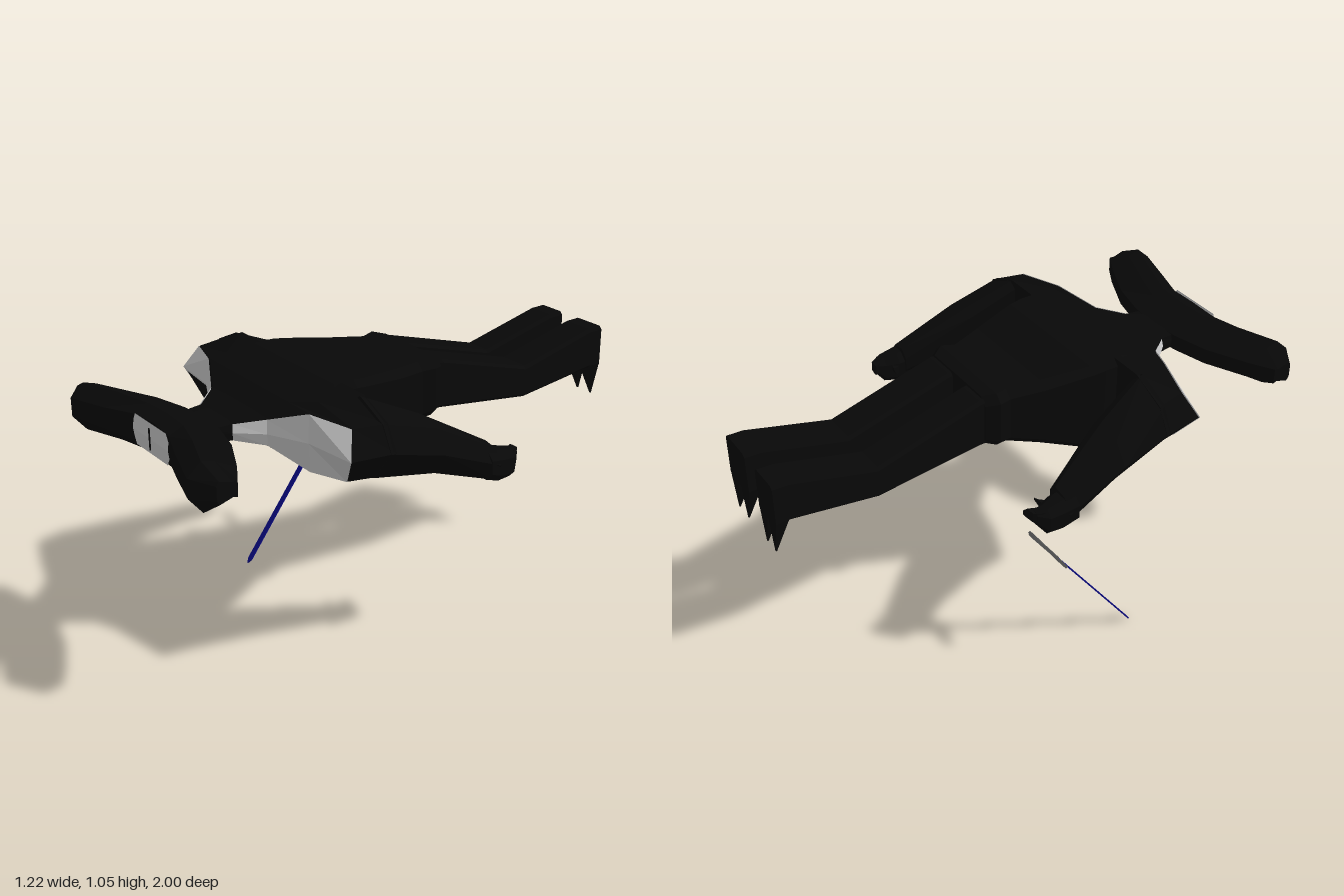
import * as THREE from 'three';

const black = new THREE.MeshStandardMaterial({ color: 0x080808, flatShading: true });
const grey = new THREE.MeshStandardMaterial({ color: 0xcccccc, flatShading: true, side: THREE.DoubleSide });
const steel = new THREE.MeshStandardMaterial({ color: 0x555555, flatShading: true });
const blue = new THREE.MeshStandardMaterial({ color: 0x0a0a80, flatShading: true });

// Skin rings of points into a closed faceted solid; the winding is made outward.
function loft(rings) {
  const tris = [], n = rings[0].length;
  for (let r = 0; r < rings.length - 1; r++) {
    for (let i = 0; i < n; i++) {
      const j = (i + 1) % n, A = rings[r], B = rings[r + 1];
      tris.push([A[i], A[j], B[j]], [A[i], B[j], B[i]]);
    }
  }
  const cap = (ring, flip) => {
    const c = [0, 1, 2].map(k => ring.reduce((s, p) => s + p[k], 0) / n);
    for (let i = 0; i < n; i++) {
      const a = ring[i], b = ring[(i + 1) % n];
      tris.push(flip ? [c, b, a] : [c, a, b]);
    }
  };
  cap(rings[0], true);
  cap(rings[rings.length - 1], false);
  let volume = 0;
  for (const [a, b, c] of tris) {
    volume += a[0] * (b[1] * c[2] - b[2] * c[1]) - a[1] * (b[0] * c[2] - b[2] * c[0]) + a[2] * (b[0] * c[1] - b[1] * c[0]);
  }
  if (volume < 0) tris.forEach(t => t.reverse());
  return geometry(tris);
}

// Open sheet through rows of points.
function sheet(rows) {
  const tris = [];
  for (let r = 0; r < rows.length - 1; r++) {
    for (let i = 0; i < rows[0].length - 1; i++) {
      const A = rows[r], B = rows[r + 1];
      tris.push([A[i], B[i], B[i + 1]], [A[i], B[i + 1], A[i + 1]]);
    }
  }
  return geometry(tris);
}

function geometry(tris) {
  const g = new THREE.BufferGeometry();
  g.setAttribute('position', new THREE.Float32BufferAttribute(tris.flat(2), 3));
  g.computeVertexNormals();
  return g;
}

const mirrorRing = half => [...half, ...half.map(([x, y, z]) => [-x, y, z]).reverse()];

// Bevelled rectangle facing along z.
function bevel(x0, x1, y0, y1, z, b) {
  return [[x0 + b, y1, z], [x1 - b, y1, z], [x1, y1 - b, z], [x1, y0 + b, z],
    [x1 - b, y0, z], [x0 + b, y0, z], [x0, y0 + b, z], [x0, y1 - b, z]];
}

export function createModel() {
  const model = new THREE.Group();
  const add = (name, geo, mat, parent = model) => {
    const mesh = new THREE.Mesh(geo, mat);
    mesh.name = name;
    parent.add(mesh);
    return mesh;
  };

  // Wide hammer head: |x|, front z, back z, top, bottom, half height of the blunt front
  const headHalf = [
    [0, .895, .7, .975, .78, .057], [.12, .9, .71, .975, .795, .05], [.26, .95, .745, .982, .803, .04],
    [.42, 1, .82, .982, .803, .035], [.505, .945, .87, .94, .86, .025]];
  const headRing = (s, [x, zf, zb, t, b, h]) => {
    const zm = zb + (zf - zb) * .6;
    return [[s * x, .9 - h, zf], [s * x, .9 + h, zf], [s * x, t, zm + .02], [s * x, t - .015, zm - .03],
      [s * x, .93, zb], [s * x, .87, zb], [s * x, b + .015, zm - .03], [s * x, b, zm + .02]];
  };
  add('head', loft([
    ...headHalf.slice(1).reverse().map(h => headRing(-1, h)), ...headHalf.map(h => headRing(1, h))]), black);

  // Pale face patch with a slit
  add('facePatch', sheet([-.125, -.11, 0, .11, .125].map(x => {
    const h = Math.abs(x) > .12 ? .03 : .057;
    return [-h, 0, h].map(d => [x, .9 + d, .905 + (d ? 0 : .004)]);
  })), grey);
  add('faceSlit', new THREE.BoxGeometry(.005, .08, .004), black).position.set(0, .9, .911);

  // Neck and shoulders: half profiles from top to bottom, neck to back of shoulders
  const shoulders = [
    [[.06, .93, .74], [.1, .925, .74], [.1, .9, .74], [.1, .875, .74], [.06, .87, .74]],
    [[.06, .935, .65], [.11, .93, .65], [.115, .9, .655], [.11, .87, .65], [.06, .87, .65]],
    [[.1, .955, .56], [.185, .95, .56], [.192, .9, .565], [.185, .855, .56], [.1, .85, .56]],
    [[.2, 1, .485], [.33, 1, .485], [.34, .9, .495], [.33, .79, .485], [.2, .79, .485]],
    [[.3, 1.02, .43], [.5, .99, .43], [.555, .9, .472], [.47, .79, .43], [.3, .76, .43]],
    [[.39, 1.05, .31], [.53, .99, .31], [.58, .9, .31], [.48, .78, .31], [.39, .74, .31]]];
  add('shoulders', loft(shoulders.map(mirrorRing)), black);

  // Torso from chest to hips: z, half width, bottom, top, bevel
  add('torso', loft([
    [.47, .26, .79, 1, .02], [.34, .285, .72, 1.05, .025], [.26, .285, .68, 1.05, .025], [.21, .28, .69, 1.045, .025],
    [.03, .235, .755, 1.025, .03], [-.09, .2, .79, 1.015, .03], [-.14, .215, .8, 1.02, .03], [-.185, .185, .81, 1.01, .03]
  ].map(([z, w, b, t, c]) => bevel(-w, w, b, t, z, c))), black);

  for (const s of [1, -1]) {
    const side = s > 0 ? 'left' : 'right';
    const flip = ring => ring.map(([x, y, z]) => [s * x, y, z]);

    // Pale gill wall running from the neck to the shoulder tip
    add(side + 'ShoulderFront', sheet(shoulders.slice(1, 5).map(r =>
      flip(r.slice(1, 4)).map(([x, y, z]) => [x + s * .002, y, z + .004]))), grey);

    // Arm tapering down to the wrist
    add(side + 'Arm', loft([
      [[.37, 1.03, .33], [.4, 1.05, .33], [.53, .99, .33], [.578, .9, .33], [.48, .78, .33], [.39, .745, .33], [.365, .85, .33]],
      [[.41, .93, .12], [.45, .955, .12], [.54, .93, .12], [.595, .85, .12], [.54, .765, .12], [.46, .745, .12], [.415, .83, .12]],
      [[.49, .79, -.12], [.52, .82, -.12], [.575, .81, -.12], [.61, .755, -.12], [.58, .69, -.12], [.52, .7, -.12], [.49, .74, -.12]]
    ].map(flip)), black);

    // Hand with hooked fingers
    add(side + 'Hand', loft([
      bevel(.495, .61, .7, .81, -.08, .03), bevel(.5, .605, .68, .8, -.14, .03),
      bevel(.52, .6, .685, .79, -.19, .025), bevel(.53, .57, .73, .78, -.225, .01)].map(flip)), black);
    const finger = (pts) => loft(pts.map(([x, y, z, r]) => flip(
      [[x - r, y - r, z], [x + r, y - r, z], [x + r, y + r, z], [x - r, y + r, z]])));
    add(side + 'Finger', finger([[.56, .76, -.2, .02], [.54, .76, -.235, .018], [.515, .755, -.243, .008]]), black);
    add(side + 'Thumb', finger([[.53, .74, -.13, .02], [.505, .75, -.165, .015], [.485, .77, -.18, .004]]), black);

    // Leg, bent at the knee
    const [x0, x1] = s > 0 ? [.03, .177] : [.05, .178];
    add(side + 'Leg', loft([
      [-.1, .81, 1.01], [-.2, .81, 1], [-.61, .76, .885], [-.94, .805, .968], [-1, .8, .97]
    ].map(([z, b, t]) => flip(bevel(x0, x1, b, t, z, .012)))), black);

    // Two pointed claws under each foot
    const step = (x1 - x0) / 2;
    for (let i = 0; i < 2; i++) {
      const a = x0 + i * step, m = a + step / 2;
      add(side + 'FootClaw' + (i + 1), loft([
        [[a, .82, -.95], [a + step, .82, -.95], [a + step, .82, -1], [a, .82, -1]],
        [[m - .003, .68, -.996], [m + .003, .68, -.996], [m + .003, .68, -1], [m - .003, .68, -1]]
      ].map(flip)), black);
    }
  }

  // Sword hanging below the right hand, tip down and forward
  const sword = new THREE.Group();
  sword.name = 'sword';
  const plate = (points, depth) => new THREE.ExtrudeGeometry(
    new THREE.Shape(points.map(p => new THREE.Vector2(...p))), { depth, bevelEnabled: false }).translate(0, 0, -depth / 2);
  add('blade', plate([[0, 0], [.012, .02], [.012, .61], [-.012, .61], [-.012, .02]], .005), blue, sword);
  add('hilt', plate([[-.012, .6], [.012, .6], [.035, .645], [.1, .648], [.105, .678], [.028, .682], [.013, .782],
    [-.013, .782], [-.028, .682], [-.1, .678], [-.105, .648], [-.035, .645]], .01), steel, sword);
  sword.position.set(-.508, .005, .258);
  sword.rotation.x = -.635;
  model.add(sword);

  return model;
}
